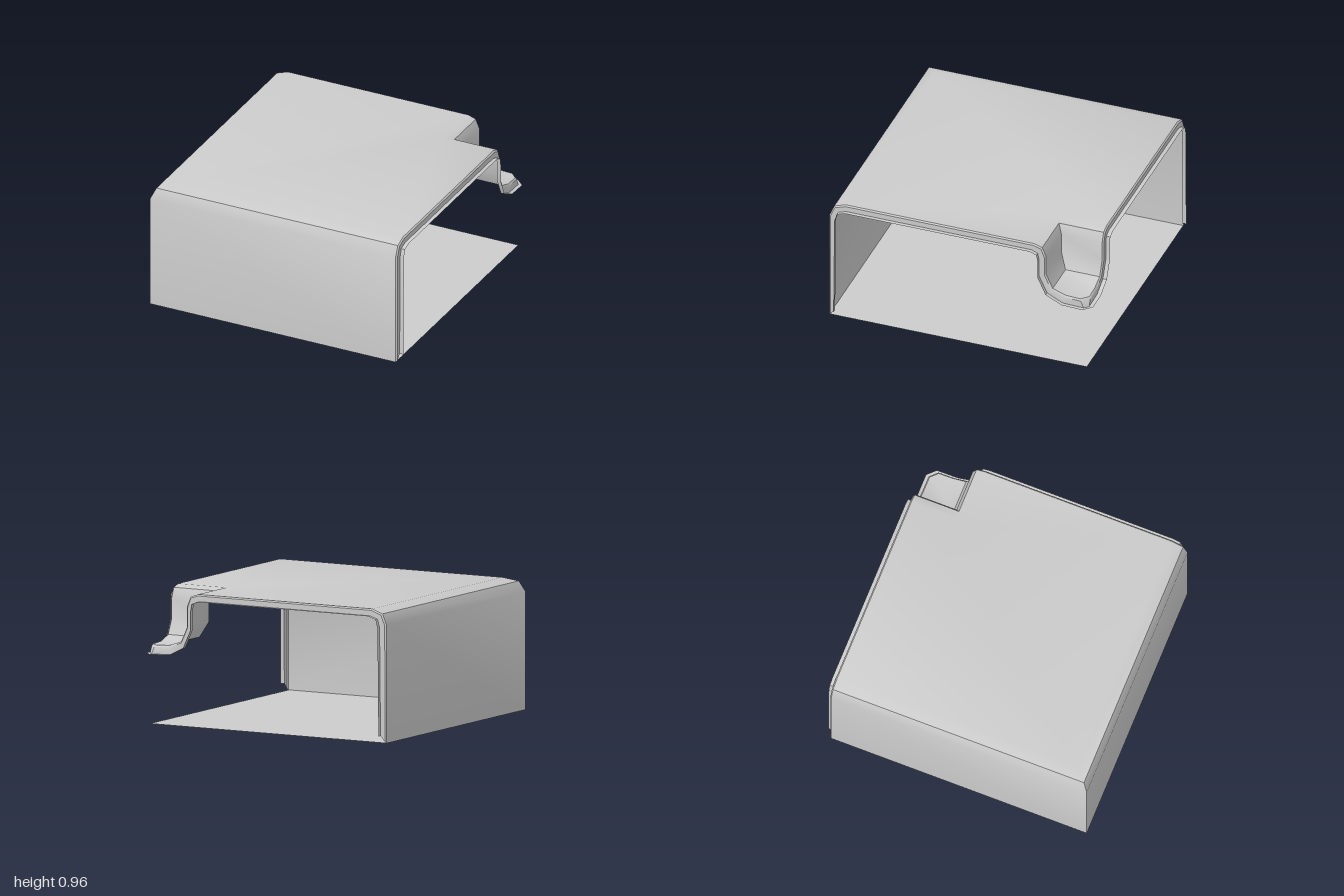
import * as THREE from 'three';
import { toCreasedNormals } from 'three/addons/utils/BufferGeometryUtils.js';

// Profiles [z, y]: up the front wall, over the roof, down into the corner ledge
const outer = [[1, 0], [1, 0.85], [0.965, 0.93], [0.88, 0.96], [-0.56, 0.96], [-0.62, 0.94],
  [-0.65, 0.87], [-0.65, 0.72], [-0.7, 0.61], [-0.8, 0.575], [-0.91, 0.57]];
const inner = [[0.955, 0.05], [0.947, 0.83], [0.93, 0.89], [0.87, 0.91], [-0.54, 0.91], [-0.59, 0.89],
  [-0.6, 0.83], [-0.6, 0.7], [-0.66, 0.57], [-0.78, 0.51], [-0.94, 0.505]];
const inset = outer.map(([d, y], i) => [
  d + (inner[i][0] - d) * 0.2, y + (inner[i][1] - y) * 0.2]);

const EDGE = 0.96;
const material = new THREE.MeshStandardMaterial({ color: 0xcccccc, side: THREE.DoubleSide });

// A station is a profile placed at a given x (or on the mitre line if none is given);
// the last row runs to the diagonal to close the ledge tip
function station(profile, x) {
  const points = profile.map(([d, y]) => new THREE.Vector3(x ?? -d, y, d));
  const last = points[points.length - 1];
  const m = (last.x - last.z) / 2;
  points.push(new THREE.Vector3(m, last.y, -m));
  return points;
}

// Mirror across the diagonal so the x-end stations serve the z-end too
const mirror = (points) => points.map((p) => new THREE.Vector3(-p.z, p.y, -p.x));

// Surface through neighbouring stations
function skin(name, stations) {
  const pos = [];
  const tri = (a, b, c) => {
    if (new THREE.Triangle(a, b, c).getArea() > 1e-7) pos.push(...a, ...b, ...c);
  };
  for (let j = 0; j < stations.length - 1; j++) {
    const s = stations[j], t = stations[j + 1];
    for (let i = 0; i < s.length - 1; i++) {
      tri(s[i], s[i + 1], t[i + 1]);
      tri(s[i], t[i + 1], t[i]);
    }
  }
  const geometry = new THREE.BufferGeometry();
  geometry.setAttribute('position', new THREE.Float32BufferAttribute(pos, 3));
  const mesh = new THREE.Mesh(toCreasedNormals(geometry, 0.65), material);
  mesh.name = name;
  return mesh;
}

export function createModel() {
  const group = new THREE.Group();
  group.name = 'openCornerShell';

  // Walls, roof and sunken ledge, mitred along the diagonal
  const end = station(outer, EDGE);
  group.add(skin('shell', [end, station(outer), mirror(end)]));

  // Bevelled rim and protruding lip on the two open sides
  const rim = [station(inner, 1), station(inner, 0.97), station(inset, 0.97), end];
  group.add(skin('sideRim', rim));
  group.add(skin('backRim', rim.map(mirror).reverse()));

  // Floor sheet
  const size = 1 + EDGE;
  const floor = new THREE.Mesh(new THREE.PlaneGeometry(size, size).rotateX(-Math.PI / 2), material);
  floor.position.set(size / 2 - 1, 0, 1 - size / 2);
  floor.name = 'floor';
  group.add(floor);

  return group;
}
